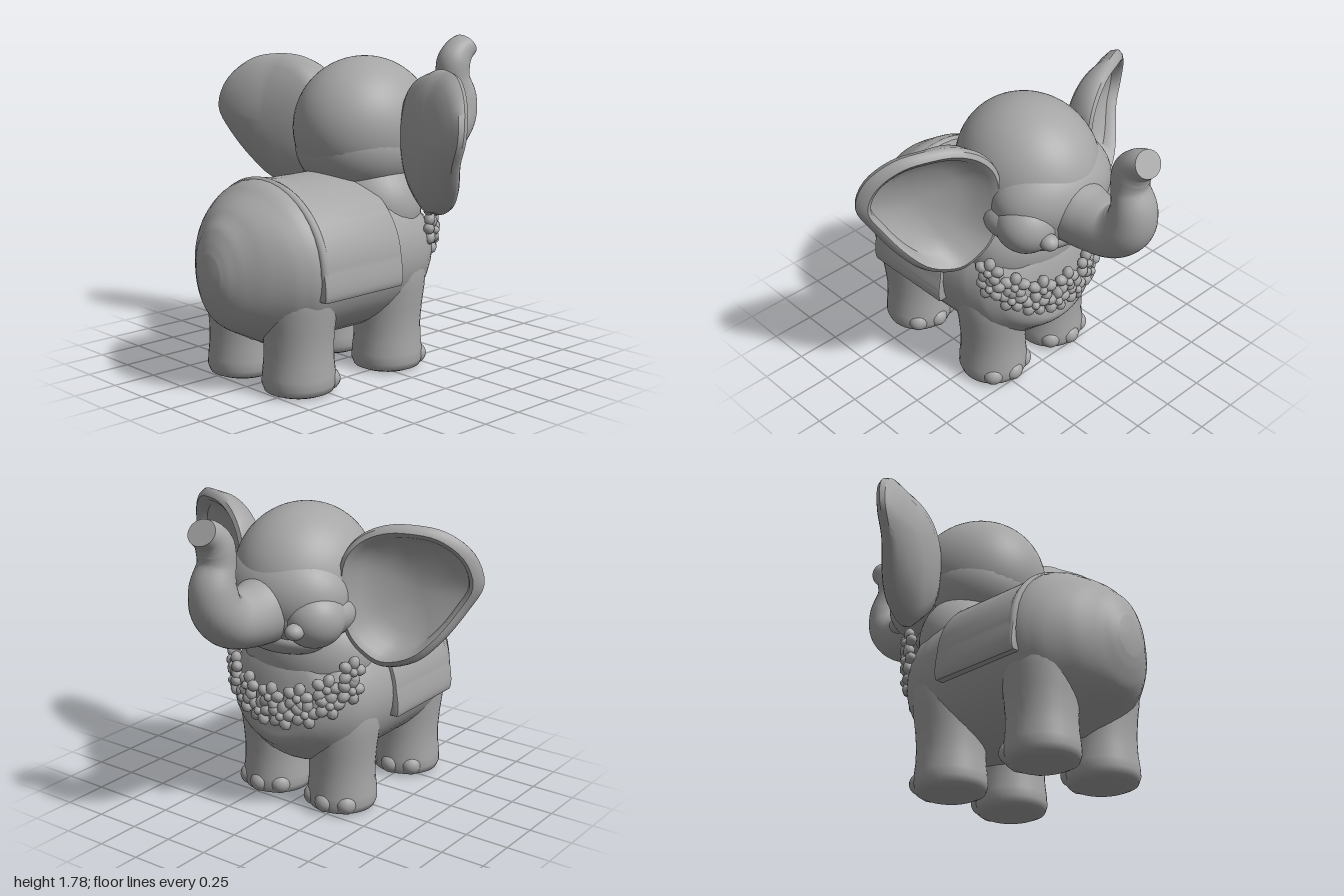
import * as THREE from 'three';
import { mergeGeometries, toCreasedNormals } from 'three/addons/utils/BufferGeometryUtils.js';

const skin = new THREE.MeshStandardMaterial({ color: 0xa6a6a6 });
skin.name = 'clay grey';

function add(parent, name, geo, x = 0, y = 0, z = 0) {
  const m = new THREE.Mesh(geo, skin);
  m.name = name;
  m.position.set(x, y, z);
  parent.add(m);
  return m;
}

const ellipsoid = (rx, ry, rz, w = 40, h = 28) => new THREE.SphereGeometry(1, w, h).scale(rx, ry, rz);

// Surface from a grid of points, rows along the shape and columns around it
function gridSurface(rows) {
  const n = rows[0].length, index = [];
  for (let i = 0; i < rows.length - 1; i++) {
    for (let j = 0; j < n; j++) {
      const k = (j + 1) % n, a = i * n + j, b = i * n + k, c = a + n, d = b + n;
      index.push(a, b, d, a, d, c);
    }
  }
  const g = new THREE.BufferGeometry();
  g.setAttribute('position', new THREE.Float32BufferAttribute(rows.flat(2), 3));
  g.setIndex(index);
  return toCreasedNormals(g, 0.8);
}

// Loft of elliptical rings [z, y, rx, ry] running towards +z, with flat end caps
function loft(sections, steps, sides = 40) {
  const path = new THREE.CatmullRomCurve3(sections.map(([z, y]) => new THREE.Vector3(0, y, z)));
  const size = new THREE.CatmullRomCurve3(sections.map(([, , a, b]) => new THREE.Vector3(a, b, 0)));
  const rows = [];
  for (let i = -1; i <= steps + 1; i++) {
    const t = Math.min(Math.max(i / steps, 0), 1);
    const p = path.getPoint(t), d = path.getTangent(t), s = size.getPoint(t);
    const k = i < 0 || i > steps ? 0 : 1;
    const row = [];
    for (let j = 0; j < sides; j++) {
      const a = (j / sides) * Math.PI * 2, u = s.y * k * Math.sin(a);
      row.push([s.x * k * Math.cos(a), p.y + u * d.z, p.z - u * d.y]);
    }
    rows.push(row);
  }
  return gridSurface(rows);
}

// Ear: domed back, thick rolled rim and a hollow front, thicker at the root
function earGeometry(side) {
  const outline = [[0.33, 1.5], [0.41, 1.61], [0.53, 1.67], [0.67, 1.68], [0.81, 1.65], [0.93, 1.54], [0.97, 1.37],
    [0.9, 1.22], [0.8, 1.05], [0.69, 0.94], [0.53, 0.9], [0.42, 0.97], [0.35, 1.07], [0.31, 1.28]];
  if (side < 0) outline.reverse(); // keeps the faces outward on both sides
  const pts = new THREE.CatmullRomCurve3(outline.map(([x, y]) => new THREE.Vector3(x, y, 0)), true)
    .getPoints(56).slice(0, 56);
  const cx = 0.64, cy = 1.3;
  // radius fraction, offset along z, share of the forward curl
  const profile = [[0, 0.1, 0], [0.3, 0.095, 0.04], [0.6, 0.075, 0.2], [0.82, 0.05, 0.5], [0.95, 0.03, 0.8],
    [1, 0, 1], [0.97, -0.03, 1], [0.9, -0.045, 1], [0.83, -0.03, 0.9], [0.76, 0.01, 0.6], [0.55, 0.03, 0.25],
    [0.28, 0.045, 0.05], [0, 0.05, 0]];
  return gridSurface(profile.map(([r, off, curl], i) => pts.map((p) => {
    const dx = p.x - cx, dy = p.y - cy, c = dx / (Math.hypot(dx, dy));
    const x = cx + r * dx;
    const root = i < 5 ? 0.11 * Math.max(0, -c) * r * r : 0;
    const bend = -0.085 * curl * (1 - Math.max(0, c) ** 2);
    return [side * x, cy + r * dy, -0.12 + (x - 0.35) * 0.42 + off + root + bend];
  })));
}

function flowerGeometry() {
  const parts = [ellipsoid(0.025, 0.025, 0.03, 10, 8).translate(0, 0, 0.015)];
  for (let i = 0; i < 5; i++) {
    parts.push(ellipsoid(0.04, 0.032, 0.032, 8, 6).translate(0.048, 0, 0).rotateZ((i / 5) * Math.PI * 2));
  }
  return mergeGeometries(parts);
}

export function createModel() {
  const model = new THREE.Group();
  model.name = 'elephant';

  // Body, from chest to rump
  add(model, 'body', loft([
    [-0.39, 0.715, 0.08, 0.1], [-0.355, 0.71, 0.25, 0.24], [-0.29, 0.695, 0.36, 0.32], [-0.2, 0.68, 0.425, 0.385],
    [-0.08, 0.66, 0.455, 0.425], [0.1, 0.655, 0.468, 0.433], [0.35, 0.655, 0.472, 0.433], [0.61, 0.66, 0.475, 0.45],
    [0.73, 0.655, 0.42, 0.4], [0.85, 0.65, 0.3, 0.325], [0.93, 0.65, 0.19, 0.25], [0.97, 0.65, 0.13, 0.17],
    [0.99, 0.65, 0.09, 0.11],
  ], 60));
  add(model, 'neck', ellipsoid(0.4, 0.33, 0.3), 0, 0.9, -0.07);

  // Saddle blanket with flared side flaps
  const shape = new THREE.Shape();
  shape.moveTo(0.485, 0.54);
  shape.quadraticCurveTo(0.503, 0.57, 0.478, 0.69);
  shape.absellipse(0, 0.66, 0.48, 0.43, 0.07, Math.PI - 0.07, false);
  shape.quadraticCurveTo(-0.503, 0.57, -0.485, 0.54);
  shape.lineTo(-0.44, 0.54);
  shape.lineTo(-0.44, 0.66);
  shape.absellipse(0, 0.66, 0.44, 0.4, Math.PI, 0, true);
  shape.lineTo(0.44, 0.54);
  const blanket = new THREE.ExtrudeGeometry(shape, {
    depth: 0.53, curveSegments: 40, bevelSize: 0.01, bevelThickness: 0.015, bevelSegments: 3,
  });
  add(model, 'blanket', toCreasedNormals(blanket, 0.6), 0, 0, 0.085);
  // Raised hem at the back of the blanket
  const hem = new THREE.TorusGeometry(1, 0.05, 8, 60, Math.PI).scale(0.47, 0.437, 0.5);
  add(model, 'blanketHem', hem, 0, 0.66, 0.61);

  // Legs with three toes each
  const legProfile = [[0, 0], [0.15, 0], [0.185, 0.015], [0.198, 0.05], [0.196, 0.1], [0.188, 0.17], [0.186, 0.26],
    [0.194, 0.36], [0.207, 0.46], [0.215, 0.56], [0.2, 0.66], [0.15, 0.74], [0, 0.78]]
    .map(([x, y]) => new THREE.Vector2(x, y));
  for (const side of [1, -1]) {
    for (const [name, z] of [['frontLeg', -0.075], ['backLeg', 0.58]]) {
      const leg = new THREE.Group();
      leg.name = name;
      leg.position.set(side * 0.23, 0, z);
      model.add(leg);
      add(leg, 'leg', new THREE.LatheGeometry(legProfile, 36));
      for (const a of [-0.75, 0, 0.75]) {
        add(leg, 'toe', ellipsoid(0.062, 0.06, 0.062, 16, 12), 0.158 * Math.sin(a), 0.065, -0.158 * Math.cos(a));
      }
    }
  }

  // Head, face, muzzle, jaw and cheeks
  add(model, 'head', ellipsoid(0.37, 0.39, 0.415, 48, 36), 0, 1.32, -0.115);
  add(model, 'headBack', ellipsoid(0.36, 0.3, 0.36), 0, 1.23, -0.08);
  add(model, 'face', ellipsoid(0.375, 0.28, 0.28), 0, 1.27, -0.28);
  add(model, 'muzzle', ellipsoid(0.4, 0.2, 0.29), 0, 1.18, -0.25);
  const jaw = add(model, 'lowerJaw', ellipsoid(0.26, 0.1, 0.21), 0, 1.02, -0.29);
  jaw.rotation.x = 0.15;
  for (const side of [1, -1]) {
    add(model, 'cheek', ellipsoid(0.17, 0.165, 0.17), side * 0.235, 1.175, -0.345);
    add(model, 'mouthCorner', ellipsoid(0.05, 0.045, 0.055, 20, 14), side * 0.24, 1.14, -0.52);
    add(model, 'ear', earGeometry(side));
  }

  // Raised trunk, from tip to root
  add(model, 'trunk', loft([
    [-0.945, 1.72, 0.085, 0.072], [-0.885, 1.68, 0.09, 0.09], [-0.845, 1.62, 0.098, 0.102], [-0.84, 1.54, 0.1, 0.098],
    [-0.87, 1.42, 0.125, 0.12], [-0.85, 1.31, 0.14, 0.134], [-0.76, 1.225, 0.15, 0.145], [-0.61, 1.2, 0.16, 0.165],
    [-0.46, 1.21, 0.18, 0.19], [-0.3, 1.23, 0.2, 0.2],
  ], 48, 32));

  // Flower garland across the chest, two staggered rows
  const garland = new THREE.Group();
  garland.name = 'garland';
  model.add(garland);
  const flower = flowerGeometry();
  for (const [count, reach, dy] of [[7, 1.17, 0.07], [8, 1.15, -0.03]]) {
    for (let i = 0; i < count; i++) {
      const t = ((i / (count - 1)) * 2 - 1) * reach;
      const y = 0.63 + dy + 0.29 * (1 - Math.cos(t));
      const f = add(garland, 'flower', flower, 0.44 * Math.sin(t), y, -0.125 - 0.3 * Math.cos(t));
      f.rotation.set(0, Math.atan2(Math.sin(t), -Math.cos(t)), i * 1.3);
    }
  }
  return model;
}
